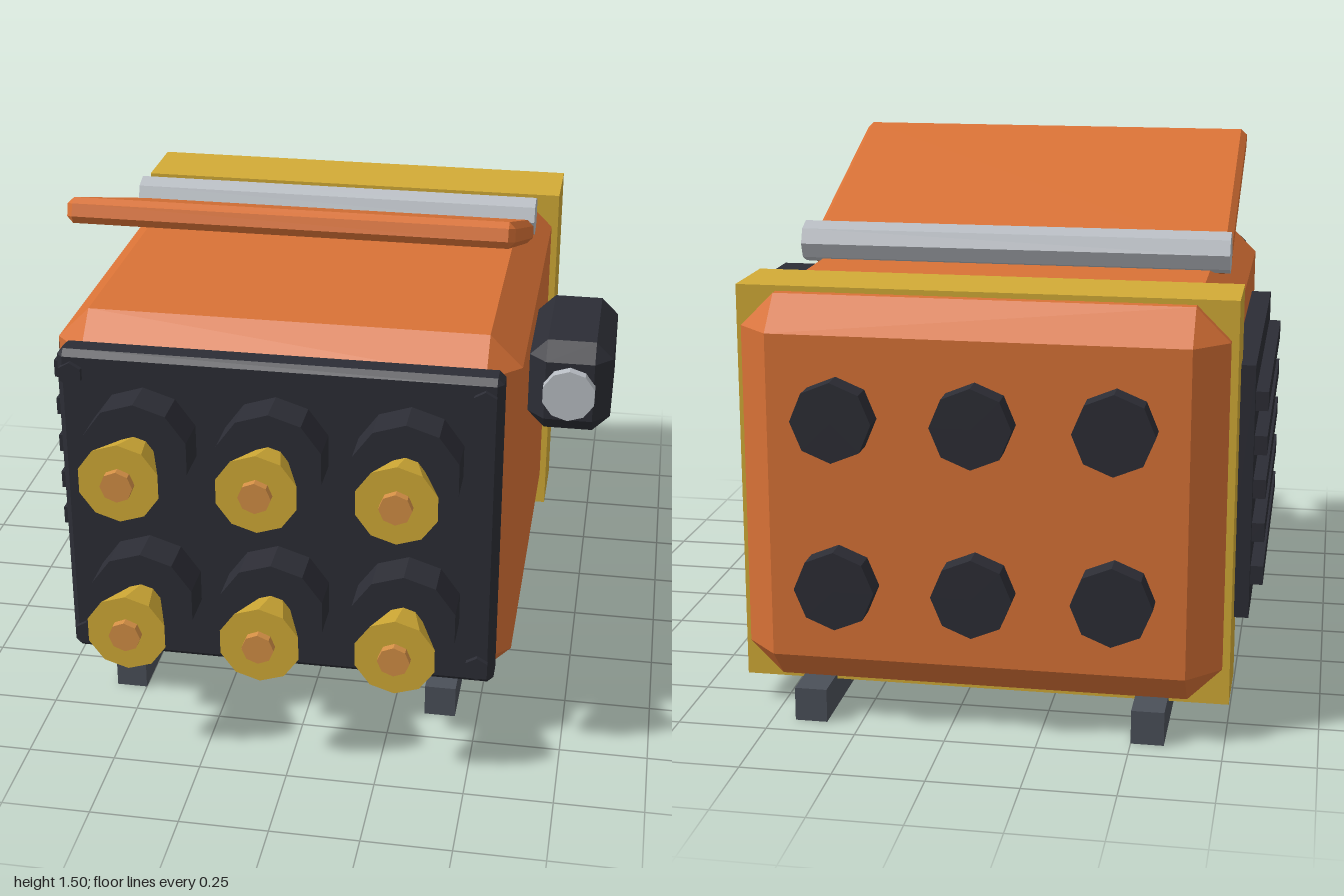
import * as THREE from 'three';
import { ConvexGeometry } from 'three/addons/geometries/ConvexGeometry.js';

const mat = (name, color) => {
  const m = new THREE.MeshStandardMaterial({ color, flatShading: true });
  m.name = name;
  return m;
};

// Box with all twelve edges chamfered by c
function chamferBox(w, h, d, c) {
  const pts = [];
  for (const sx of [-1, 1]) for (const sy of [-1, 1]) for (const sz of [-1, 1]) {
    for (let axis = 0; axis < 3; axis++) {
      const k = [0, 1, 2].map((i) => (i === axis ? 0 : c));
      pts.push(new THREE.Vector3(sx * (w / 2 - k[0]), sy * (h / 2 - k[1]), sz * (d / 2 - k[2])));
    }
  }
  return new ConvexGeometry(pts);
}

export function createModel() {
  const model = new THREE.Group();
  model.name = 'engineBlock';

  const orange = mat('orangePaint', 0xd97236);
  const gold = mat('gold', 0xd2ab36);
  const black = mat('blackMetal', 0x2c2d35);
  const steel = mat('darkSteel', 0x4b5059);
  const silver = mat('silver', 0xb9bec4);
  const copper = mat('copper', 0xd38f45);

  const add = (name, geometry, material, x, y, z) => {
    const mesh = new THREE.Mesh(geometry, material);
    mesh.name = name;
    mesh.position.set(x, y, z);
    model.add(mesh);
    return mesh;
  };
  const box = (w, h, d) => new THREE.BoxGeometry(w, h, d);
  // Cylinder along z, from z0 (radius r0) to z1 (radius r1)
  const rod = (name, material, x, y, z0, z1, r0, r1, sides) =>
    add(name, new THREE.CylinderGeometry(r1, r0, z1 - z0, sides).rotateX(Math.PI / 2),
      material, x, y, (z0 + z1) / 2);

  const cx = -0.075;

  // Main housing, rear band and skids
  add('housing', chamferBox(1.32, 1.09, 1.56, 0.092), orange, cx, 0.645, -0.15);
  add('rearBand', box(1.36, 1.125, 0.23), gold, cx, 0.6425, -0.695);
  for (const x of [-0.545, 0.39]) add('skid', box(0.09, 0.095, 1.565), steel, x, 0.0475, -0.1475);

  // Front plate with corner bolts
  add('frontPlate', chamferBox(1.245, 0.965, 0.09, 0.018), black, cx, 0.643, 0.65);
  for (const x of [-0.655, 0.5]) for (const y of [0.22, 1.06])
    rod('bolt', black, x, y, 0.67, 0.71, 0.036, 0.036, 6);

  // Nozzles at the front, round caps at the back
  for (const x of [-0.45, cx, 0.3]) for (const y of [0.41, 0.878]) {
    rod('nozzleCollar', black, x, y, 0.68, 0.81, 0.153, 0.153, 10);
    rod('nozzle', gold, x, y, 0.8, 0.977, 0.054, 0.115, 10);
    rod('nozzleTip', copper, x, y, 0.95, 1.0, 0.045, 0.045, 8);
    rod('rearCap', black, x, y, -1.0, -0.92, 0.11, 0.11, 8);
  }

  // Vent with ribs on the right side
  add('ventPlate', box(0.07, 0.72, 1.03), black, -0.76, 0.64, -0.15);
  for (let i = 0; i < 5; i++)
    add('ventRib', box(0.045, 0.054, 0.94), black, -0.8075, 0.39 + i * 0.125, -0.15);

  // Side pod with lens
  add('sidePod', chamferBox(0.24, 0.28, 0.436, 0.05), black, 0.705, 0.925, 0.088);
  rod('lens', silver, 0.705, 0.925, 0.29, 0.336, 0.078, 0.078, 10);

  // Open lid and its hinge
  const lid = add('lid', chamferBox(1.245, 0.072, 0.835, 0.018), orange, cx, 1.334, 0.125);
  lid.rotation.x = -0.342;
  add('hinge', new THREE.CylinderGeometry(0.06, 0.06, 1.25, 8).rotateZ(Math.PI / 2),
    silver, cx, 1.238, -0.288);

  return model;
}
